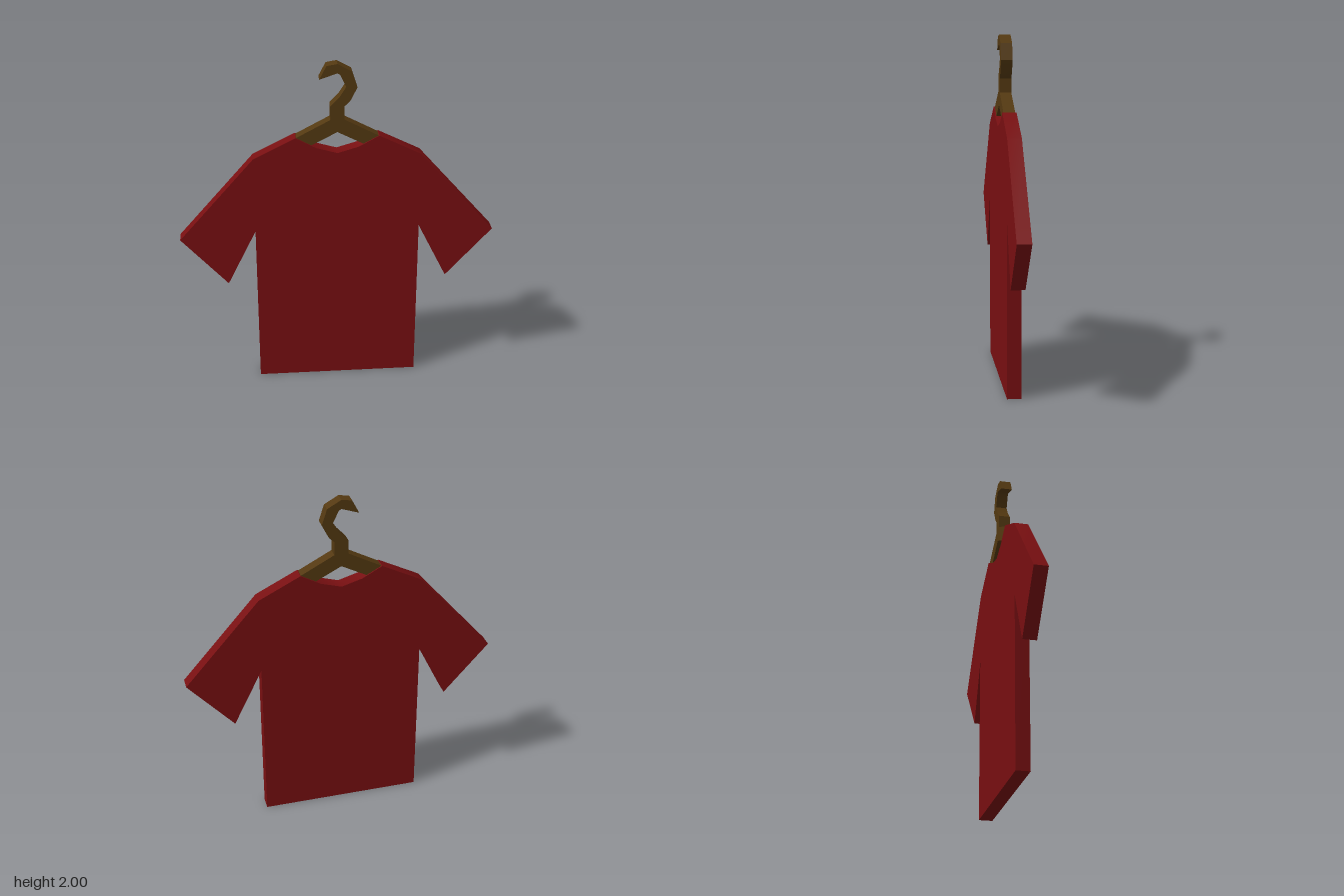
import * as THREE from 'three';
import { toCreasedNormals } from 'three/addons/utils/BufferGeometryUtils.js';

const cloth = new THREE.MeshStandardMaterial({ name: 'dark red cloth', color: 0x780f11 });
const wood = new THREE.MeshStandardMaterial({ name: 'brown wood', color: 0x543911 });

// Flat outline given thickness, centred on z = 0
function slab(name, points, depth, material) {
  const shape = new THREE.Shape(points.map(([x, y]) => new THREE.Vector2(x, y)));
  const geometry = new THREE.ExtrudeGeometry(shape, { depth, bevelEnabled: false });
  geometry.translate(0, 0, -depth / 2);
  const mesh = new THREE.Mesh(toCreasedNormals(geometry, 0.6), material);
  mesh.name = name;
  return mesh;
}

export function createModel() {
  const model = new THREE.Group();
  model.name = 'shirtOnHanger';

  // Shirt: one half from hem to collar, mirrored across x
  const half = [
    [0.475, 0], [0.475, 1.0], [0.643, 0.66], [0.91, 0.96],
    [0.475, 1.455], [0.235, 1.575], [0.12, 1.512],
  ];
  const mirrored = half.map(([x, y]) => [-x, y]).reverse();
  model.add(slab('shirt', [...half, [0, 1.477], ...mirrored], 0.08, cloth));

  // Hanger: sloping arms that run into the shoulders, a neck and an open hook
  const hanger = [
    [0, 1.602], [0.41, 1.39], [0.43, 1.465], [0.235, 1.572], [0.04, 1.675], [0.04, 1.755],
    [0.07, 1.783], [0.11, 1.862], [0.08, 1.955], [0, 2.0], [-0.06, 1.99], [-0.1, 1.913],
    [0, 1.947], [0.015, 1.938], [0.048, 1.867], [0.012, 1.81],
    [-0.04, 1.755], [-0.04, 1.675], [-0.235, 1.572], [-0.43, 1.465], [-0.41, 1.39],
  ];
  model.add(slab('hanger', hanger, 0.066, wood));

  return model;
}
